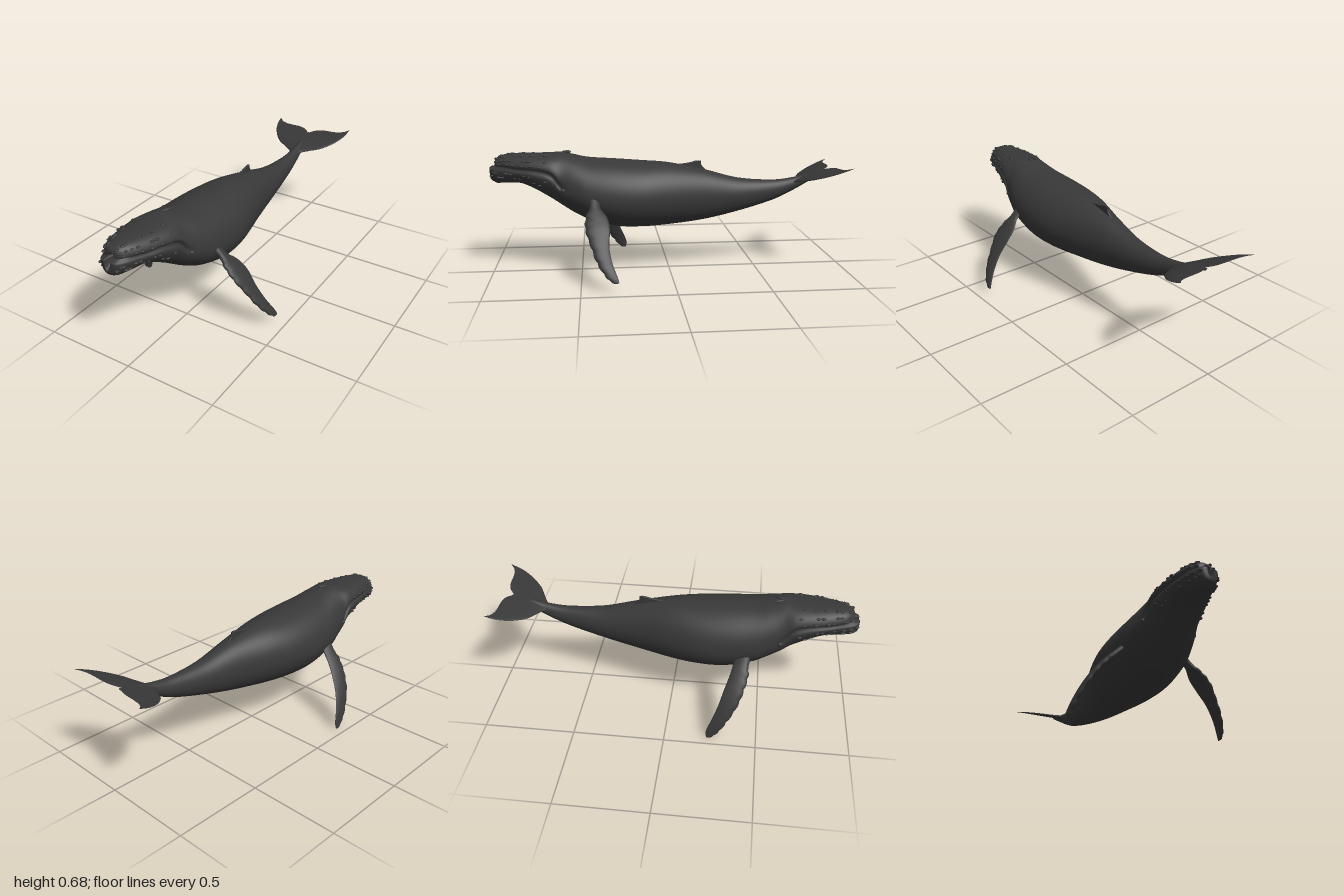
import * as THREE from 'three';
import { mergeGeometries } from 'three/addons/utils/BufferGeometryUtils.js';

const skin = new THREE.MeshStandardMaterial({ color: 0x383838 });
skin.name = 'dark grey skin';

// Smooth interpolation of every column of a list of key rows
function sample(keys, steps) {
  const last = keys.length - 1;
  const key = (i) => keys[Math.min(Math.max(i, 0), last)];
  return Array.from({ length: steps + 1 }, (_, s) => {
    const u = (s / steps) * last, i = Math.min(Math.floor(u), last - 1), t = u - i;
    return key(i).map((b, c) => {
      const a = key(i - 1)[c], d = key(i + 1)[c], e = key(i + 2)[c];
      return b + 0.5 * t * (d - a + t * (2 * a - 5 * b + 4 * d - e + t * (3 * (b - d) + e - a)));
    });
  });
}

// Closed skin over a list of rings, pinched shut at both ends
function loft(rings, startPoint, endPoint) {
  const n = rings[0].length;
  const rows = [Array(n).fill(startPoint), ...rings, Array(n).fill(endPoint)];
  const index = [];
  for (let i = 0; i < rows.length - 1; i++) {
    for (let j = 0; j < n; j++) {
      const a = i * n + j, b = i * n + ((j + 1) % n), c = a + n, d = b + n;
      if (i > 0) index.push(a, b, c);
      if (i < rows.length - 2) index.push(b, d, c);
      else index.pop(), index.pop(), index.pop(), index.push(a, b, c);
    }
  }
  const g = new THREE.BufferGeometry();
  g.setAttribute('position', new THREE.Float32BufferAttribute(rows.flat(2), 3));
  g.setIndex(index);
  g.computeVertexNormals();
  return g;
}

function average(ring) {
  return [0, 1, 2].map((c) => ring.reduce((sum, p) => sum + p[c], 0) / ring.length);
}

// Body stations from tail to snout: z, centre x, half width, top, mouth or flank line, bottom
const STATIONS = [
  [-0.92, -0.012, 0.008, 0.56, 0.555, 0.55],
  [-0.82, -0.012, 0.022, 0.54, 0.52, 0.495],
  [-0.72, -0.012, 0.032, 0.517, 0.475, 0.44],
  [-0.6, -0.013, 0.046, 0.505, 0.445, 0.385],
  [-0.4, -0.017, 0.075, 0.52, 0.425, 0.325],
  [-0.2, -0.023, 0.112, 0.572, 0.425, 0.28],
  [0, -0.033, 0.168, 0.612, 0.43, 0.255],
  [0.15, -0.035, 0.203, 0.625, 0.43, 0.247],
  [0.3, -0.036, 0.213, 0.637, 0.43, 0.255],
  [0.45, -0.037, 0.2, 0.648, 0.45, 0.297],
  [0.53, -0.038, 0.18, 0.665, 0.475, 0.335],
  [0.6, -0.042, 0.16, 0.68, 0.5, 0.38],
  [0.66, -0.046, 0.148, 0.675, 0.567, 0.42],
  [0.75, -0.052, 0.132, 0.672, 0.588, 0.475],
  [0.83, -0.058, 0.113, 0.672, 0.592, 0.508],
  [0.9, -0.063, 0.09, 0.668, 0.6, 0.508],
  [0.94, -0.066, 0.068, 0.66, 0.602, 0.51],
  [0.965, -0.066, 0.045, 0.645, 0.603, 0.525],
  [0.972, -0.066, 0.02, 0.63, 0.604, 0.545],
];

// Point on the body; the head is squarer, with a mouth groove and a longer lower jaw
function bodyPoint([z, cx, hw, top, mid, bot], angle) {
  const c = Math.cos(angle), s = Math.sin(angle);
  const head = THREE.MathUtils.smoothstep(z, 0.55, 0.75);
  const groove = Math.exp(-((s / 0.1) ** 2)) * THREE.MathUtils.smoothstep(z, 0.56, 0.64);
  const jaw = s < -0.05 ? 0.03 * THREE.MathUtils.smoothstep(z, 0.88, 0.97) : 0;
  const x = Math.sign(c) * Math.abs(c) ** (1 - 0.25 * head) * hw * (1 - 0.16 * groove);
  return [cx + x, mid + s * (s > 0 ? top - mid : mid - bot), z + jaw];
}

function makeBody() {
  const n = 64;
  const rings = sample(STATIONS, 108).map((st) =>
    Array.from({ length: n }, (_, j) => bodyPoint(st, (j / n) * Math.PI * 2)));
  return loft(rings, average(rings[0]), [-0.066, 0.602, 0.93]);
}

// Knobs in rows over the upper jaw and along the lower lip
function makeTubercles() {
  const rows = sample(STATIONS, 108), parts = [];
  for (const angle of [0.3, 0.65, 1.15, -0.35, -0.65]) {
    for (const a of [angle, Math.PI - angle]) {
      for (let i = 75; i < 102; i += 4) {
        const k = i + Math.round(1.5 * Math.sin(i * 7 + a * 11));
        const r = 0.009 + 0.002 * Math.sin(i * 5 + a * 3);
        parts.push(new THREE.SphereGeometry(r, 10, 8).scale(1, 0.6, 1.3)
          .translate(...bodyPoint(rows[k], a)));
      }
    }
  }
  return mergeGeometries(parts);
}

// Flipper keys from shoulder to tip: x, y, leading z, trailing z, half thickness
const LEFT_FLIPPER = [
  [0.13, 0.45, 0.455, 0.385, 0.028], [0.185, 0.405, 0.45, 0.392, 0.021],
  [0.235, 0.36, 0.465, 0.355, 0.02], [0.29, 0.305, 0.467, 0.342, 0.019],
  [0.345, 0.23, 0.44, 0.348, 0.018], [0.395, 0.155, 0.41, 0.335, 0.016],
  [0.435, 0.09, 0.365, 0.31, 0.011], [0.45, 0.058, 0.325, 0.3, 0.004],
];
const RIGHT_FLIPPER = [
  [-0.19, 0.43, 0.45, 0.375, 0.028], [-0.25, 0.375, 0.435, 0.352, 0.021],
  [-0.3, 0.325, 0.43, 0.335, 0.02], [-0.35, 0.265, 0.412, 0.31, 0.019],
  [-0.395, 0.19, 0.382, 0.285, 0.018], [-0.43, 0.105, 0.332, 0.25, 0.015],
  [-0.447, 0.04, 0.287, 0.226, 0.009], [-0.452, 0.004, 0.25, 0.232, 0.004],
];

function makeFlipper(keys) {
  const rows = sample(keys, 56), n = 24;
  const rings = rows.map(([x, y, lead, trail, thick], i) => {
    const a = rows[Math.max(i - 1, 0)], b = rows[Math.min(i + 1, rows.length - 1)];
    const t = new THREE.Vector2(b[0] - a[0], b[1] - a[1]).normalize();
    // Bumpy leading edge
    const front = lead + (i > 12 ? 0.007 * Math.abs(Math.sin(i * 0.55)) : 0);
    const zc = (front + trail) / 2, h = (front - trail) / 2;
    return Array.from({ length: n }, (_, j) => {
      const c = Math.cos((j / n) * Math.PI * 2), s = Math.sin((j / n) * Math.PI * 2);
      const w = thick * c * (0.75 + 0.25 * s);
      return [x - t.y * w, Math.max(0, y + t.x * w), zc + h * s];
    });
  });
  return loft(rings, average(rings[0]), average(rings[rings.length - 1]));
}

// Fluke keys from centre to tip: distance from centre, leading z, trailing z, half thickness
const FLUKE = [
  [0, -0.69, -0.908, 0.018], [0.04, -0.732, -0.94, 0.014], [0.09, -0.762, -0.953, 0.011],
  [0.145, -0.793, -0.955, 0.009], [0.19, -0.838, -0.96, 0.007], [0.225, -0.89, -0.974, 0.005],
  [0.244, -0.94, -0.992, 0.003], [0.249, -0.98, -0.998, 0.002],
];

function makeFlukes() {
  const half = sample(FLUKE, 28), n = 24;
  const span = [...half.slice(1).reverse().map(([d, ...r]) => [-d, ...r]), ...half];
  const rings = span.map(([d, lead, trail, thick]) =>
    Array.from({ length: n }, (_, j) => {
      const c = Math.cos((j / n) * Math.PI * 2), s = Math.sin((j / n) * Math.PI * 2);
      const z = (lead + trail) / 2 + ((lead - trail) / 2) * s;
      const y = 0.49 + 0.37 * (-z - 0.72) + 0.04 * d;
      return [d - 0.012, y + thick * c * (0.7 + 0.3 * s), z];
    }));
  return loft(rings, average(rings[0]), average(rings[rings.length - 1]));
}

// Small hooked dorsal fin, drawn in the z-y plane
function makeDorsalFin() {
  const shape = new THREE.Shape();
  shape.moveTo(0.06, 0.59);
  shape.quadraticCurveTo(-0.1, 0.6, -0.14, 0.612);
  shape.quadraticCurveTo(-0.17, 0.622, -0.185, 0.616);
  shape.quadraticCurveTo(-0.178, 0.595, -0.215, 0.565);
  shape.lineTo(-0.1, 0.55);
  const g = new THREE.ExtrudeGeometry(shape, {
    depth: 0.004, bevelEnabled: true, bevelThickness: 0.004, bevelSize: 0.003, bevelSegments: 3,
  });
  return g.translate(0, 0, -0.002).rotateY(-Math.PI / 2).translate(-0.028, 0, 0);
}

export function createModel() {
  const model = new THREE.Group();
  model.name = 'whale';
  const add = (name, geometry) => {
    const mesh = new THREE.Mesh(geometry, skin);
    mesh.name = name;
    model.add(mesh);
    return mesh;
  };
  add('body', makeBody());
  add('headTubercles', makeTubercles());
  add('leftFlipper', makeFlipper(LEFT_FLIPPER));
  add('rightFlipper', makeFlipper(RIGHT_FLIPPER));
  add('tailFlukes', makeFlukes());
  add('dorsalFin', makeDorsalFin());

  // Chin knob
  add('chinKnob', new THREE.SphereGeometry(0.025, 16, 12).scale(1.2, 0.7, 1.2))
    .position.set(-0.068, 0.522, 0.955);

  // Eyes and the V-shaped blowhole ridges
  for (const side of [-1, 1]) {
    add(side > 0 ? 'leftEye' : 'rightEye', new THREE.SphereGeometry(0.013, 14, 10))
      .position.set(-0.042 + side * 0.154, 0.485, 0.59);
    const ridge = add('blowholeRidge', new THREE.SphereGeometry(0.028, 14, 10).scale(0.25, 0.25, 1));
    ridge.position.set(-0.055 + side * 0.014, 0.677, 0.575);
    ridge.rotation.y = -side * 0.4;
  }
  return model;
}
